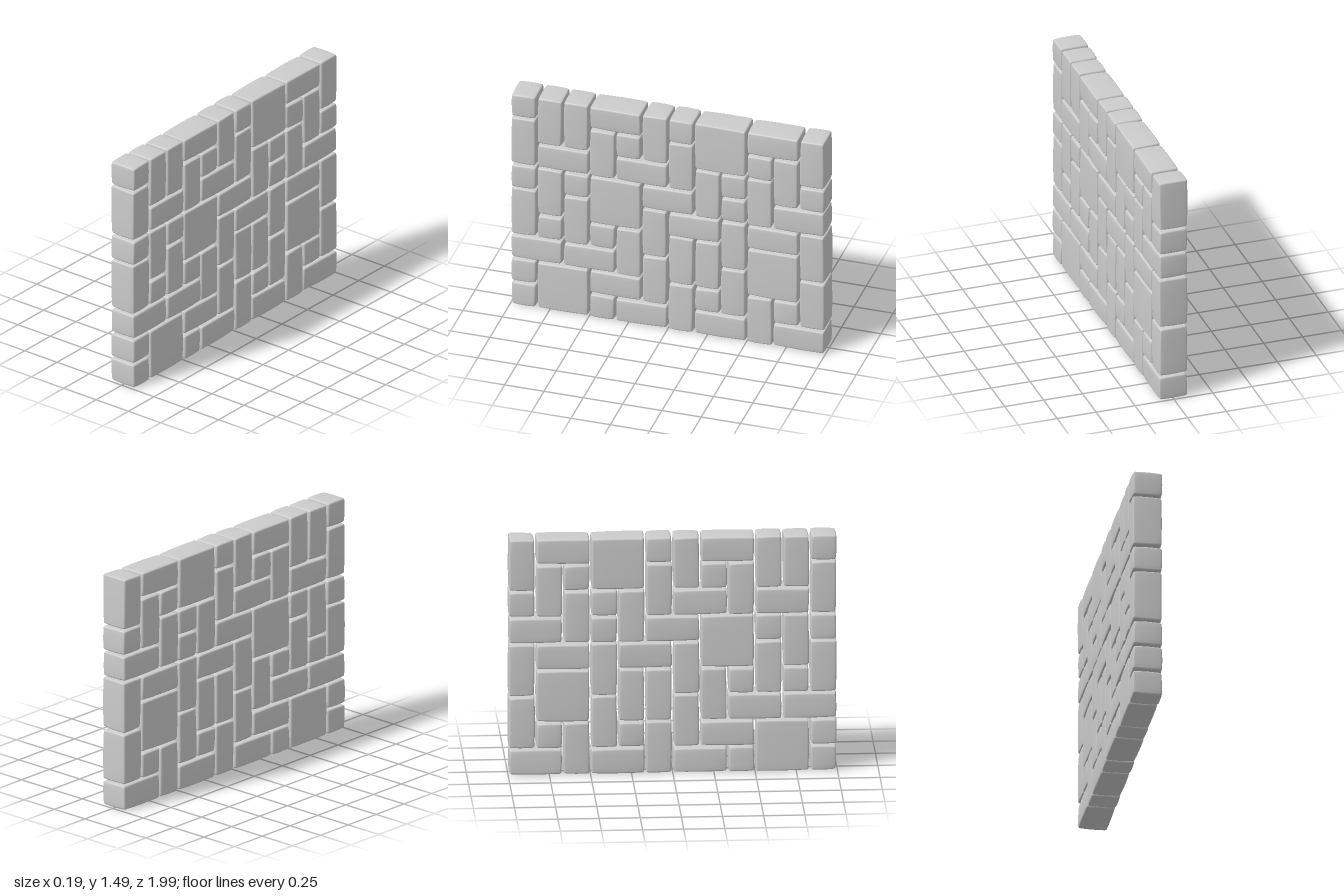
import * as THREE from 'three';
import { mergeVertices } from 'three/addons/utils/BufferGeometryUtils.js';

const CELL = 1 / 6, COLS = 12, ROWS = 9, DEPTH = 0.184;
const GAP = 0.004, ROUND = 0.011, BULGE = 0.005, WOBBLE = 0.006;

// Stone sizes in cells (across, down); each stone fills the next free cell, row by row from the top.
const SIZES = { s: [1, 1], h: [2, 1], v: [1, 2], b: [2, 2] };
const NAMES = { s: 'smallStone', h: 'longStone', v: 'tallStone', b: 'largeStone' };
const LAYOUT = [
  'svvhvsbhv',
  'vvsvsv',
  'hhvsvs',
  'svsbhsh',
  'vvvhvhv',
  'ssvvvb',
  'hhvvv',
  'sbhvsvs',
  'sshhh',
].join('');

let seed = 7;
function rand() {
  seed = (seed * 16807) % 2147483647;
  return seed / 2147483647;
}

// Softly rounded, slightly domed and uneven block.
function stoneGeometry(w, h, d) {
  let geo = new THREE.BoxGeometry(2, 2, 2, 8, 8, 8);
  geo.deleteAttribute('normal');
  geo.deleteAttribute('uv');
  geo = mergeVertices(geo, 1e-4);

  const half = [w / 2, h / 2, d / 2];
  // Grid lines gathered close to the edges so that the rounding is tight
  const lines = half.map((a) => {
    const right = [0, a / 2, a - ROUND, a - ROUND * 0.35, a];
    return [...right.slice(1).reverse().map((t) => -t), ...right];
  });
  // Random offset for each of the eight corners, blended across the block
  const corners = Array.from({ length: 8 }, () => [0, 1, 2].map(() => (rand() - 0.5) * WOBBLE));

  const pos = geo.attributes.position;
  const p = new THREE.Vector3(), inner = new THREE.Vector3();
  for (let i = 0; i < pos.count; i++) {
    const c = [0, 1, 2].map((k) => lines[k][Math.round((pos.getComponent(i, k) + 1) * 4)]);
    const u = c.map((t, k) => t / half[k]);

    // Rounded edges
    p.fromArray(c);
    inner.fromArray(c.map((t, k) => THREE.MathUtils.clamp(t, ROUND - half[k], half[k] - ROUND)));
    p.sub(inner).setLength(ROUND).add(inner);

    // Domed faces and uneven corners
    const out = p.toArray();
    for (let k = 0; k < 3; k++) {
      const a = u[(k + 1) % 3], b = u[(k + 2) % 3];
      out[k] -= u[k] * BULGE * (a * a + b * b) / 2;
      corners.forEach((offset, n) => {
        const weight = [0, 1, 2].reduce((m, j) => m * (1 + (n >> j & 1 ? u[j] : -u[j])) / 2, 1);
        out[k] += offset[k] * weight;
      });
    }
    pos.setXYZ(i, ...out);
  }
  geo.computeVertexNormals();
  return geo;
}

export function createModel() {
  const wall = new THREE.Group();
  wall.name = 'stoneWall';
  const material = new THREE.MeshStandardMaterial({ color: 0xcccccc });
  const taken = new Array(COLS * ROWS).fill(false);

  for (const code of LAYOUT) {
    const [across, down] = SIZES[code];
    const first = taken.indexOf(false);
    const col = first % COLS, row = Math.floor(first / COLS);
    for (let r = 0; r < down; r++) {
      for (let c = 0; c < across; c++) taken[first + r * COLS + c] = true;
    }

    const geo = stoneGeometry(DEPTH, down * CELL - GAP * 2, across * CELL - GAP * 2);
    const stone = new THREE.Mesh(geo, material);
    stone.name = NAMES[code];
    // Columns run from the front end (+z) to the back end
    stone.position.set(0, (ROWS - row - down / 2) * CELL, 1 - (col + across / 2) * CELL);
    wall.add(stone);
  }
  return wall;
}
